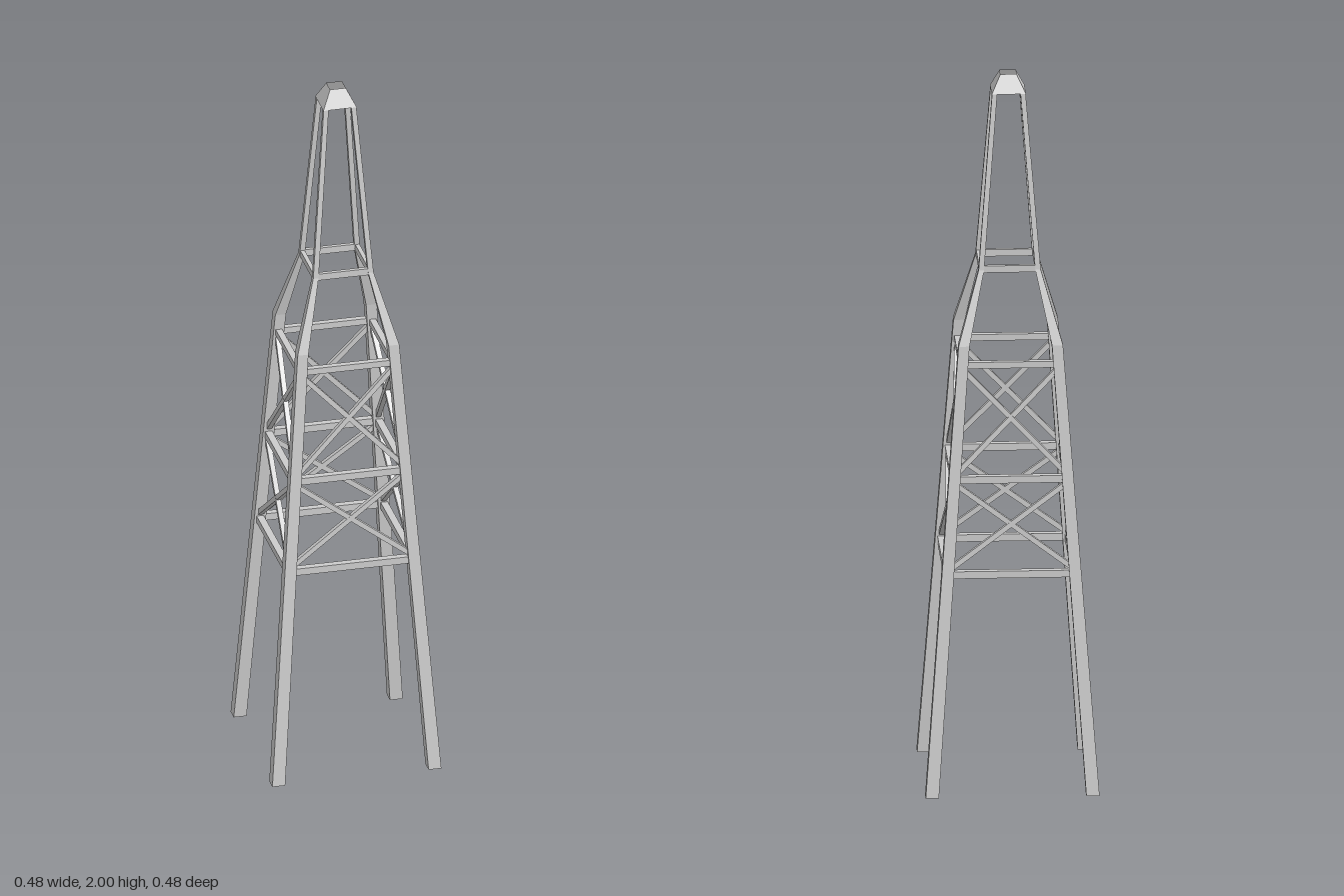
import * as THREE from 'three';

const material = new THREE.MeshStandardMaterial({ color: 0xcccccc, flatShading: true });
const capMaterial = new THREE.MeshStandardMaterial({ color: 0xcccccc, flatShading: true, side: THREE.DoubleSide });

// Leg sections: height, inner edge and outer edge (the same in x and z)
const SECTIONS = [
  [0, 0.202, 0.238],
  [1.26, 0.113, 0.143],
  [1.46, 0.07, 0.085],
  [1.95, 0.032, 0.046],
];

// Distance of the leg's centre line from the axis at height y
function legCentre(y) {
  let i = 0;
  while (i < SECTIONS.length - 2 && y > SECTIONS[i + 1][0]) i++;
  const [y0, a0, b0] = SECTIONS[i], [y1, a1, b1] = SECTIONS[i + 1];
  return THREE.MathUtils.lerp(a0 + b0, a1 + b1, (y - y0) / (y1 - y0)) / 2;
}

// Square tube lofted through the sections, closed at both ends
function legGeometry() {
  const points = [], index = [];
  for (const [y, a, b] of SECTIONS) points.push(a, y, a, a, y, b, b, y, b, b, y, a);
  const last = (SECTIONS.length - 1) * 4;
  for (let s = 0; s < last; s += 4) {
    for (let k = 0; k < 4; k++) {
      const p = s + k, q = s + (k + 1) % 4;
      index.push(p, q, q + 4, p, q + 4, p + 4);
    }
  }
  index.push(0, 2, 1, 0, 3, 2, last, last + 1, last + 2, last, last + 2, last + 3);
  const indexed = new THREE.BufferGeometry();
  indexed.setAttribute('position', new THREE.Float32BufferAttribute(points, 3));
  indexed.setIndex(index);
  const geometry = indexed.toNonIndexed();
  geometry.computeVertexNormals();
  return geometry;
}

// Square bar from a to b, its sides turned to lie in the tower face
function bar(name, a, b, size) {
  const mesh = new THREE.Mesh(new THREE.BoxGeometry(size, size, a.distanceTo(b)), material);
  mesh.name = name;
  mesh.position.addVectors(a, b).multiplyScalar(0.5);
  const along = b.clone().sub(a).normalize();
  const side = new THREE.Vector3(0, 0, 1).cross(along).normalize();
  const out = along.clone().cross(side);
  mesh.quaternion.setFromRotationMatrix(new THREE.Matrix4().makeBasis(side, out, along));
  return mesh;
}

const corner = (y, sign) => new THREE.Vector3(sign * legCentre(y), y, legCentre(y));

export function createModel() {
  const tower = new THREE.Group();
  tower.name = 'latticeTower';
  const leg = legGeometry();

  // One leg and one braced face per quarter turn
  for (let i = 0; i < 4; i++) {
    const quarter = new THREE.Group();
    quarter.name = 'towerSide' + (i + 1);
    quarter.rotation.y = i * Math.PI / 2;

    const legMesh = new THREE.Mesh(leg, material);
    legMesh.name = 'leg';
    quarter.add(legMesh);

    // Horizontal rails
    for (const [y, size] of [[0.62, 0.02], [0.885, 0.02], [1.205, 0.018], [1.462, 0.012]]) {
      const rail = bar('rail', corner(y, -1), corner(y, 1), size);
      if (y > 1.4) rail.scale.x = 1.6;
      quarter.add(rail);
    }

    // Crossed diagonals
    for (const [low, high] of [[0.63, 0.875], [0.895, 1.195]]) {
      for (const sign of [-1, 1]) {
        const brace = bar('diagonalBrace', corner(low, sign), corner(high, -sign), 0.014);
        quarter.add(brace);
      }
    }
    tower.add(quarter);
  }

  // Open tapered cap
  const capGeometry = new THREE.CylinderGeometry(0.022 * Math.SQRT2, 0.047 * Math.SQRT2, 0.05, 4, 1, true);
  capGeometry.rotateY(Math.PI / 4);
  const cap = new THREE.Mesh(capGeometry, capMaterial);
  cap.name = 'cap';
  cap.position.y = 1.975;
  tower.add(cap);

  return tower;
}
